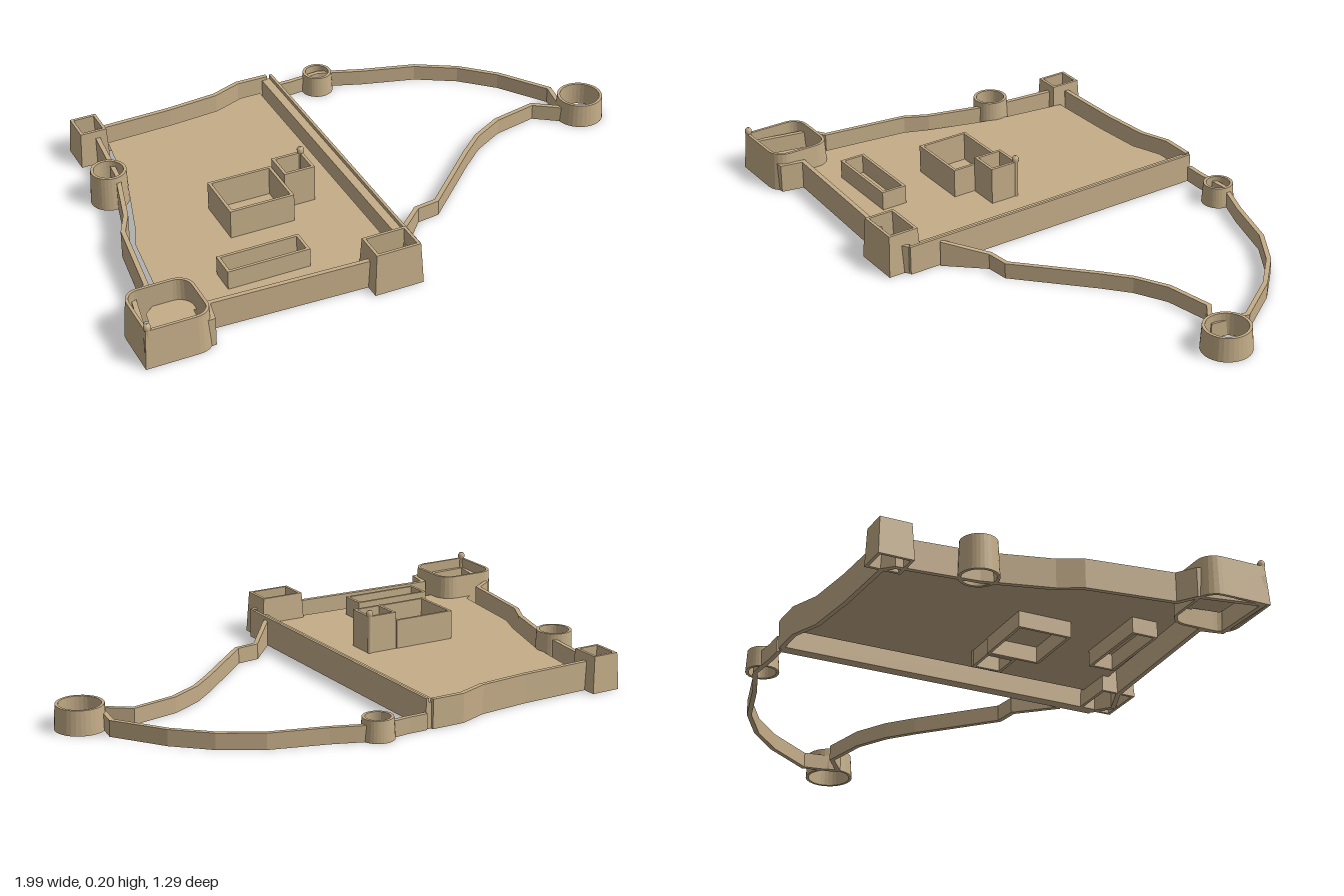
import * as THREE from 'three';

const stone = new THREE.MeshStandardMaterial({ color: 0xc4ad88, side: THREE.DoubleSide });
stone.name = 'sandstone';

// Wall of constant thickness along [x, z] points; points may carry their own top height.
// The right-hand side of the path is the outside; flare spreads the foot outwards.
function wallGeometry(points, top, { thick = 0.016, closed = false, flare = 0 } = {}) {
  const n = points.length;
  const dir = (a, b) => new THREE.Vector2(b[0] - a[0], b[1] - a[1]).normalize();
  const sections = points.map((p, i) => {
    const prev = closed || i > 0 ? dir(points[(i + n - 1) % n], p) : null;
    const next = closed || i < n - 1 ? dir(p, points[(i + 1) % n]) : null;
    const a = prev || next, b = next || prev;
    const t = a.clone().add(b).normalize();
    const miter = 1 / Math.max(0.5, t.dot(a));
    const at = (side, y) => {
      const s = side * miter;
      return [p[0] - t.y * s, y, p[1] + t.x * s];
    };
    const h = p[2] ?? top, w = thick / 2;
    return [at(w + flare, 0), at(w, h), at(-w, h), at(-w + flare, 0)];
  });
  const pos = [];
  const quad = (a, b, c, d) => pos.push(...a, ...b, ...c, ...a, ...c, ...d);
  for (let i = 0; i < (closed ? n : n - 1); i++) {
    const s = sections[i], e = sections[(i + 1) % n];
    for (let k = 0; k < 4; k++) quad(s[k], e[k], e[(k + 1) % 4], s[(k + 1) % 4]);
  }
  if (!closed) {
    quad(...sections[0]);
    quad(...sections[n - 1].slice().reverse());
  }
  const g = new THREE.BufferGeometry();
  g.setAttribute('position', new THREE.Float32BufferAttribute(pos, 3));
  g.computeVertexNormals();
  return g;
}

// Rectangle outline with a radius for each corner: front left, back left, back right, front right
function rectLoop(x0, x1, z0, z1, inset, radii = [0, 0, 0, 0]) {
  const corners = [[x1 - inset, z1 - inset], [x1 - inset, z0 + inset], [x0 + inset, z0 + inset], [x0 + inset, z1 - inset]];
  const loop = [];
  corners.forEach(([x, z], i) => {
    const r = radii[i];
    if (!r) return loop.push([x, z]);
    const cx = x + (i < 2 ? -r : r), cz = z + (i === 0 || i === 3 ? -r : r);
    for (let k = 0; k <= 6; k++) {
      const t = (i - 1 + k / 6) * Math.PI / 2;
      loop.push([cx + r * Math.cos(t), cz - r * Math.sin(t)]);
    }
  });
  return loop;
}

function circleLoop(x, z, r, sides = 32) {
  return Array.from({ length: sides }, (_, i) => {
    const t = i / sides * Math.PI * 2;
    return [x + r * Math.cos(t), z - r * Math.sin(t)];
  });
}

export function createModel() {
  const group = new THREE.Group();
  const add = (name, geometry, x = 0, y = 0, z = 0) => {
    const mesh = new THREE.Mesh(geometry, stone);
    mesh.name = name;
    mesh.position.set(x, y, z);
    group.add(mesh);
  };

  // Raised courtyard floor, kept clear of the walls
  const floor = [[-0.68, -0.505], [-0.435, -0.515], [-0.26, -0.53], [-0.155, -0.57], [-0.08, -0.57], [-0.08, 0.52],
    [-0.11, 0.56], [-0.2, 0.515], [-0.78, 0.495], [-0.79, 0.59], [-0.95, 0.6], [-0.92, 0.45], [-0.85, 0.39],
    [-0.815, 0.09], [-0.78, 0], [-0.72, -0.21]];
  const shape = new THREE.Shape(floor.map(([x, z]) => new THREE.Vector2(x, -z)));
  add('courtyardFloor', new THREE.ShapeGeometry(shape).rotateX(-Math.PI / 2), 0, 0.055, 0);

  // High curtain wall around the inner court
  add('innerCurtainWall', wallGeometry([[-0.04, -0.603], [-0.155, -0.603], [-0.255, -0.565], [-0.435, -0.548],
    [-0.69, -0.54], [-0.72, -0.51], [-0.745, -0.24], [-0.805, -0.01], [-0.845, 0.07], [-0.885, 0.37], [-0.945, 0.41],
    [-0.985, 0.62], [-0.765, 0.612], [-0.75, 0.535], [-0.2, 0.555], [-0.1, 0.595], [-0.035, 0.54]], 0.1));

  // Dividing wall with a walkway and a thin parapet
  add('dividingWall', new THREE.BoxGeometry(0.03, 0.088, 1.145), -0.045, 0.044, -0.028);
  add('dividingParapet', new THREE.BoxGeometry(0.01, 0.102, 1.145), -0.025, 0.051, -0.028);

  // Low wall around the outer court
  add('outerWallNorth', wallGeometry([[-0.02, -0.6], [0.05, -0.6], [0.165, -0.61], [0.31, -0.555], [0.5, -0.5],
    [0.635, -0.42], [0.745, -0.315], [0.86, -0.15], [0.838, -0.02]], 0.055));
  add('outerWallSouth', wallGeometry([[0.838, -0.02], [0.75, -0.083], [0.59, -0.05], [0.48, 0.01], [0.395, 0.083],
    [0.17, 0.297], [0.09, 0.307], [-0.02, 0.43, 0.09]], 0.055));

  // Open square towers: x0, x1, z0, z1, height, foot flare, corner radii
  const squares = {
    cornerBastion: [-0.99, -0.765, 0.418, 0.632, 0.136, 0.008, [0.05, 0.05, 0.05, 0]],
    gateTower: [-0.205, -0.05, 0.497, 0.605, 0.146, 0.008],
    backTower: [-0.782, -0.69, -0.59, -0.483, 0.127, 0.006],
    keep: [-0.525, -0.3, 0.01, 0.197, 0.156, 0],
    keepTower: [-0.297, -0.188, 0.012, 0.117, 0.185, 0],
    hall: [-0.643, -0.36, 0.355, 0.446, 0.121, 0],
  };
  for (const [name, [x0, x1, z0, z1, h, flare, radii]] of Object.entries(squares))
    add(name, wallGeometry(rectLoop(x0, x1, z0, z1, 0.005, radii), h, { thick: 0.01, closed: true, flare }));

  // Open round towers: x, z, radius, height
  const rounds = {
    sideRoundTower: [-0.77, -0.255, 0.055, 0.121],
    northRoundTower: [0.153, -0.59, 0.046, 0.073],
    eastRoundTower: [0.911, -0.027, 0.074, 0.083],
  };
  for (const [name, [x, z, r, h]] of Object.entries(rounds))
    add(name, wallGeometry(circleLoop(x, z, r), h, { thick: 0.01, closed: true, flare: 0.005 }));

  // Slim stair turrets with a wider head
  for (const [name, x, z, top] of [['keepTurret', -0.194, 0.018, 0.205], ['bastionTurret', -0.982, 0.625, 0.157]]) {
    const profile = [[0.009, 0], [0.009, top - 0.022], [0.012, top - 0.018], [0.012, top - 0.007], [0.007, top], [0, top]];
    add(name, new THREE.LatheGeometry(profile.map(([r, y]) => new THREE.Vector2(r, y)), 12), x, 0, z);
  }
  return group;
}
